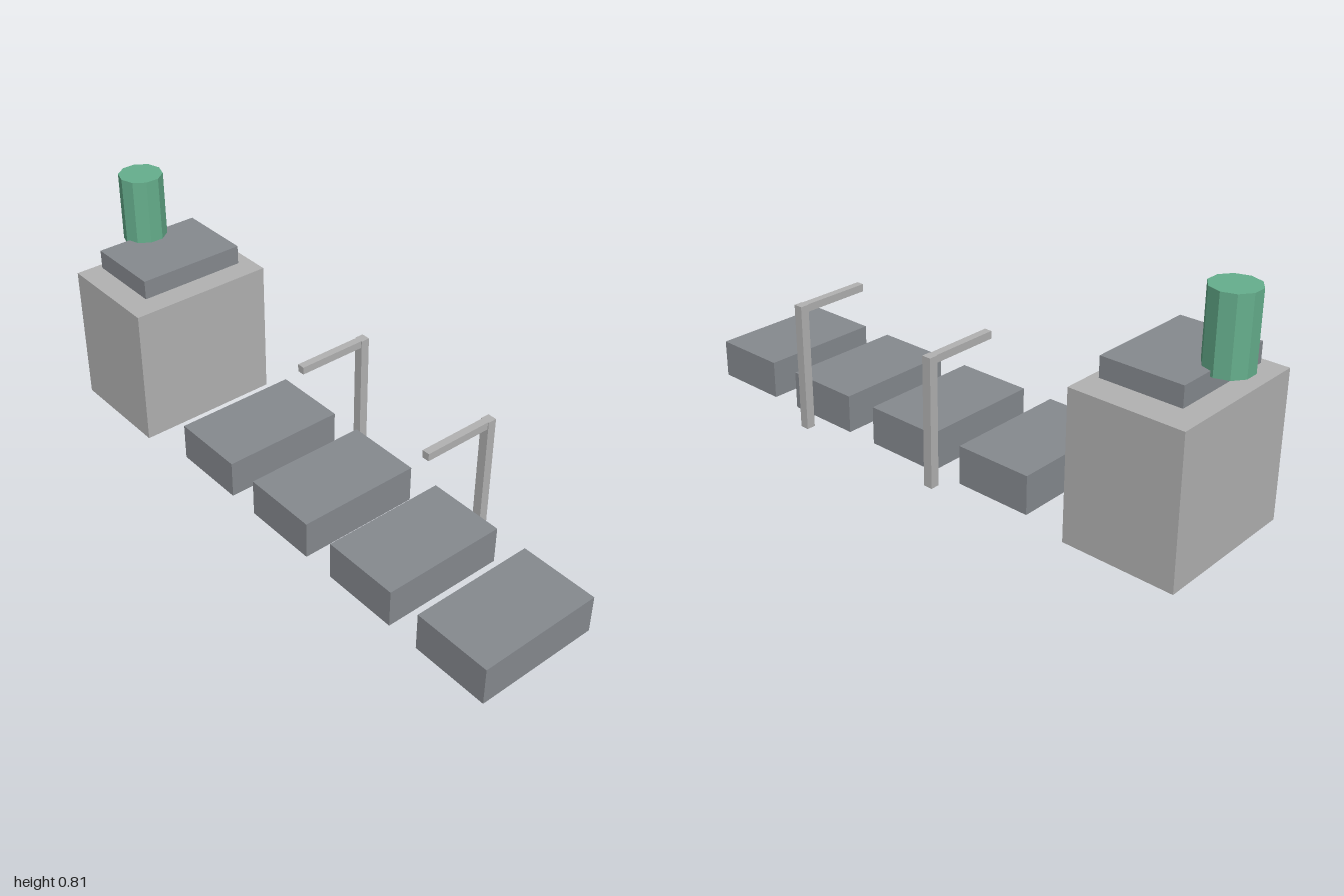
import * as THREE from 'three';

const paleGrey = new THREE.MeshStandardMaterial({ color: 0xb2b2b2 });
paleGrey.name = 'paleGrey';
const slateGrey = new THREE.MeshStandardMaterial({ color: 0x868a8f });
slateGrey.name = 'slateGrey';
const green = new THREE.MeshStandardMaterial({ color: 0x66af8d, flatShading: true, side: THREE.DoubleSide });
green.name = 'green';

// Box given by its extents on each axis
function box(name, material, [x0, x1], [y0, y1], [z0, z1]) {
  const mesh = new THREE.Mesh(new THREE.BoxGeometry(x1 - x0, y1 - y0, z1 - z0), material);
  mesh.position.set((x0 + x1) / 2, (y0 + y1) / 2, (z0 + z1) / 2);
  mesh.name = name;
  return mesh;
}

export function createModel() {
  const model = new THREE.Group();
  model.name = 'model';

  // Row of low blocks
  for (let i = 0; i < 4; i++) {
    const z = 0.865 - i * 0.384;
    model.add(box('lowBlock', slateGrey, [-0.24, 0.197], [0, 0.132], [z - 0.135, z + 0.135]));
  }

  // Posts with an arm reaching over the row
  for (const z of [-0.095, 0.482]) {
    const lamp = new THREE.Group();
    lamp.name = 'armPost';
    lamp.add(box('post', paleGrey, [0.248, 0.279], [0, 0.441], [z - 0.016, z + 0.016]));
    lamp.add(box('arm', paleGrey, [0.005, 0.264], [0.415, 0.441], [z - 0.013, z + 0.013]));
    model.add(lamp);
  }

  // Large block and the slab hovering over it
  model.add(box('largeBlock', paleGrey, [-0.28, 0.238], [0, 0.494], [-0.973, -0.592]));
  model.add(box('topSlab', slateGrey, [-0.212, 0.17], [0.515, 0.582], [-0.918, -0.645]));

  // Ten-sided stack, open underneath
  const stack = new THREE.Group();
  stack.name = 'stack';
  const radius = 0.076, height = 0.244;
  const wall = new THREE.Mesh(
    new THREE.CylinderGeometry(radius, radius, height, 10, 1, true, Math.PI / 2), green);
  wall.name = 'stackWall';
  const lid = new THREE.Mesh(new THREE.CircleGeometry(radius, 10), green);
  lid.name = 'stackLid';
  lid.rotation.x = -Math.PI / 2;
  lid.position.y = height / 2;
  stack.add(wall, lid);
  stack.position.set(-0.022, 0.566 + height / 2, -0.928);
  model.add(stack);

  return model;
}
